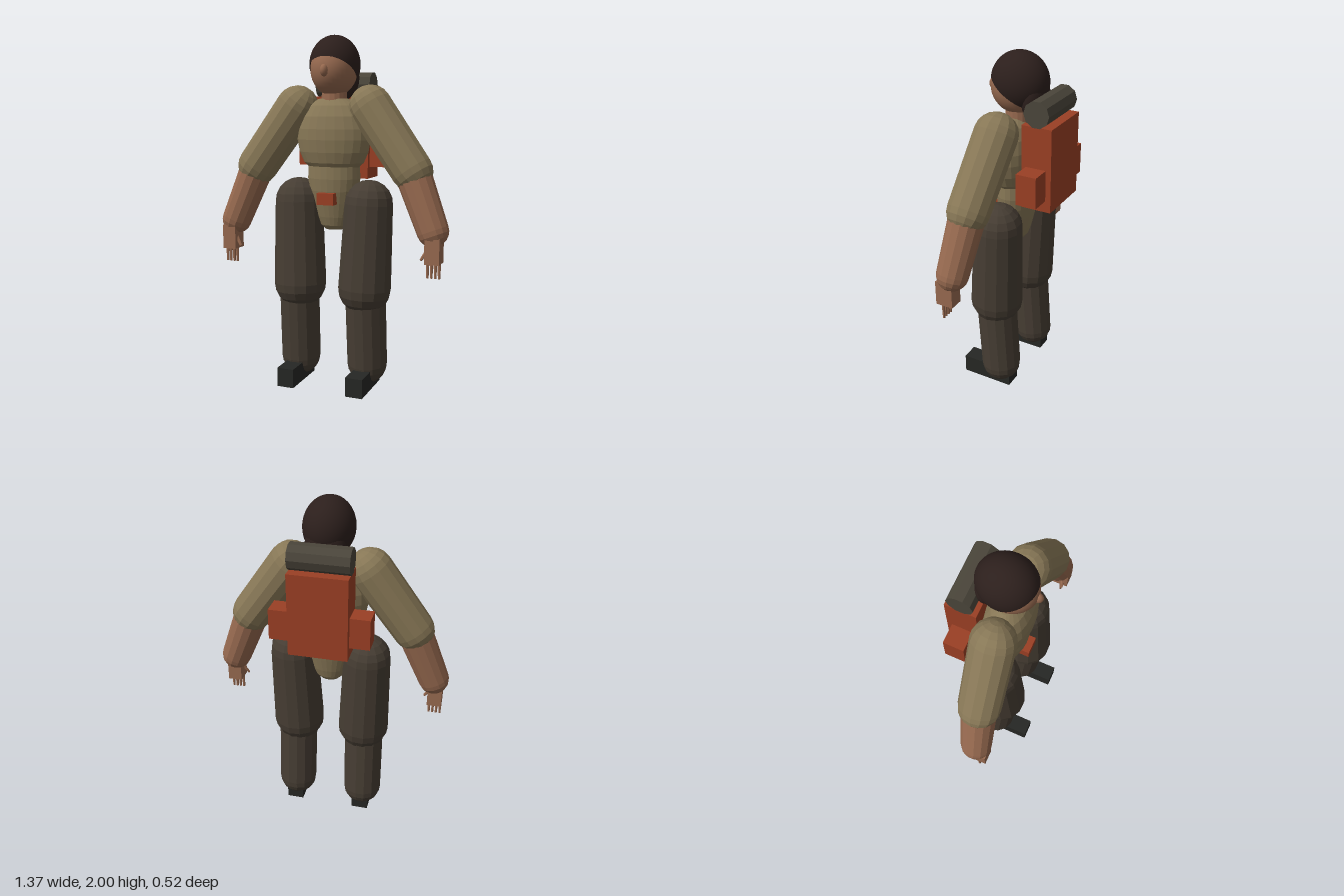
import * as THREE from 'three';

const paint = (color, smooth = false) => {
  const m = new THREE.MeshStandardMaterial({ side: THREE.DoubleSide, flatShading: !smooth });
  m.color.set(color);
  return m;
};
const SHIRT = paint(0x877756), SKIN = paint(0x96694f), TROUSERS = paint(0x463d33);
const HAIR = paint(0x2c1f1c, true), FACE = paint(0x96694f, true), BOOT = paint(0x262724);
const PACK = paint(0x9a3f24), ROLL = paint(0x4a453a);

const V = (x, y, z) => new THREE.Vector3(x, y, z);

function add(parent, name, geometry, material, x = 0, y = 0, z = 0) {
  const mesh = new THREE.Mesh(geometry, material);
  mesh.name = name;
  mesh.position.set(x, y, z);
  parent.add(mesh);
  return mesh;
}

const box = (parent, name, material, size, pos) =>
  add(parent, name, new THREE.BoxGeometry(...size), material, ...pos);

function ellipsoid(parent, name, material, radii, pos, seg = 32) {
  const geometry = new THREE.SphereGeometry(1, seg, Math.round(seg * 0.6)).scale(...radii);
  return add(parent, name, geometry, material, ...pos);
}

// Round-ended tapered limb from point a to point b
function limb(parent, name, material, a, b, ra, rb, sides = 14) {
  const length = a.distanceTo(b), steps = 5, profile = [];
  for (let i = 0; i <= steps; i++) {
    const t = (i / steps) * Math.PI / 2;
    profile.push(new THREE.Vector2(ra * Math.sin(t), -ra * Math.cos(t)));
  }
  for (let i = 0; i <= steps; i++) {
    const t = (i / steps) * Math.PI / 2;
    profile.push(new THREE.Vector2(rb * Math.cos(t), length + rb * Math.sin(t)));
  }
  const mesh = add(parent, name, new THREE.LatheGeometry(profile, sides), material, a.x, a.y, a.z);
  mesh.quaternion.setFromUnitVectors(V(0, 1, 0), b.clone().sub(a).normalize());
  return mesh;
}

// Oval body section from [radius, height] pairs
function ovalBody(parent, name, material, pairs, depth, z) {
  const geometry = new THREE.LatheGeometry(pairs.map(([r, y]) => new THREE.Vector2(r, y)), 24);
  geometry.scale(1, 1, depth);
  return add(parent, name, geometry, material, 0, 0, z);
}

function buildHead(model) {
  const head = new THREE.Group();
  head.name = 'head';
  model.add(head);
  ellipsoid(head, 'face', FACE, [0.13, 0.15, 0.15], [0, 1.81, 0.025]);
  ellipsoid(head, 'nose', FACE, [0.023, 0.034, 0.028], [0, 1.8, 0.17], 16);
  // Cap of hair tilted towards the back
  const cap = new THREE.SphereGeometry(1, 36, 20, 0, Math.PI * 2, 0, 1.92);
  cap.rotateX(-0.6).scale(0.141, 0.165, 0.162);
  add(head, 'hair', cap, HAIR, 0, 1.835, 0.01);
  ellipsoid(head, 'backHair', HAIR, [0.11, 0.13, 0.07], [0, 1.765, -0.08], 24);
  add(head, 'neck', new THREE.CylinderGeometry(0.07, 0.075, 0.14, 16), SKIN, 0, 1.64, 0.02);
}

function buildTorso(model) {
  ovalBody(model, 'chest', SHIRT, [[0, 1.26], [0.145, 1.26], [0.178, 1.29], [0.205, 1.35],
    [0.218, 1.42], [0.216, 1.48], [0.195, 1.55], [0.15, 1.61], [0.09, 1.647], [0, 1.655]], 0.6, 0.03);
  ovalBody(model, 'pelvis', SHIRT, [[0, 0.9], [0.05, 0.905], [0.078, 0.93], [0.1, 0.98],
    [0.125, 1.06], [0.145, 1.13], [0.155, 1.2], [0.152, 1.27]], 0.72, 0.025);
  box(model, 'buckle', PACK, [0.1, 0.066, 0.06], [0, 1.092, 0.135]);
}

function buildArm(model, s) {
  const arm = new THREE.Group();
  arm.name = s > 0 ? 'leftArm' : 'rightArm';
  model.add(arm);
  const elbow = V(s * 0.47, 1.26, 0.06);
  limb(arm, 'sleeve', SHIRT, V(s * 0.222, 1.603, 0.034), elbow, 0.122, 0.117);
  limb(arm, 'forearm', SKIN, elbow, V(s * 0.6, 0.94, 0.09), 0.1, 0.088);
  box(arm, 'palm', SKIN, [0.082, 0.14, 0.1], [s * 0.615, 0.838, 0.115]);
  for (let i = 0; i < 4; i++) {
    const finger = new THREE.CylinderGeometry(0.01, 0.007, 0.09, 6);
    add(arm, 'finger', finger, SKIN, s * (0.584 + i * 0.0215), 0.732, 0.125);
  }
  limb(arm, 'thumb', SKIN, V(s * 0.58, 0.835, 0.13), V(s * 0.552, 0.79, 0.14), 0.011, 0.008, 6);
}

function buildLeg(model, s) {
  const leg = new THREE.Group();
  leg.name = s > 0 ? 'leftLeg' : 'rightLeg';
  model.add(leg);
  limb(leg, 'thigh', TROUSERS, V(s * 0.215, 1.06, 0.035), V(s * 0.201, 0.58, 0.058), 0.138, 0.152);
  limb(leg, 'shin', TROUSERS, V(s * 0.206, 0.56, 0.058), V(s * 0.21, 0.128, 0.03), 0.116, 0.115);
  box(leg, 'boot', BOOT, [0.1, 0.11, 0.31], [s * 0.21, 0.055, 0.105]);
}

function buildBackpack(model) {
  const pack = new THREE.Group();
  pack.name = 'backpack';
  model.add(pack);
  box(pack, 'bag', PACK, [0.33, 0.47, 0.175], [0, 1.425, -0.172]);
  for (const s of [1, -1]) box(pack, 'sidePocket', PACK, [0.112, 0.175, 0.118], [s * 0.223, 1.345, -0.171]);
  const roll = new THREE.CylinderGeometry(0.074, 0.074, 0.335, 10).rotateZ(Math.PI / 2);
  add(pack, 'bedroll', roll, ROLL, 0, 1.727, -0.171);
}

export function createModel() {
  const model = new THREE.Group();
  model.name = 'hiker';
  buildHead(model);
  buildTorso(model);
  buildBackpack(model);
  for (const s of [1, -1]) {
    buildArm(model, s);
    buildLeg(model, s);
  }
  return model;
}
